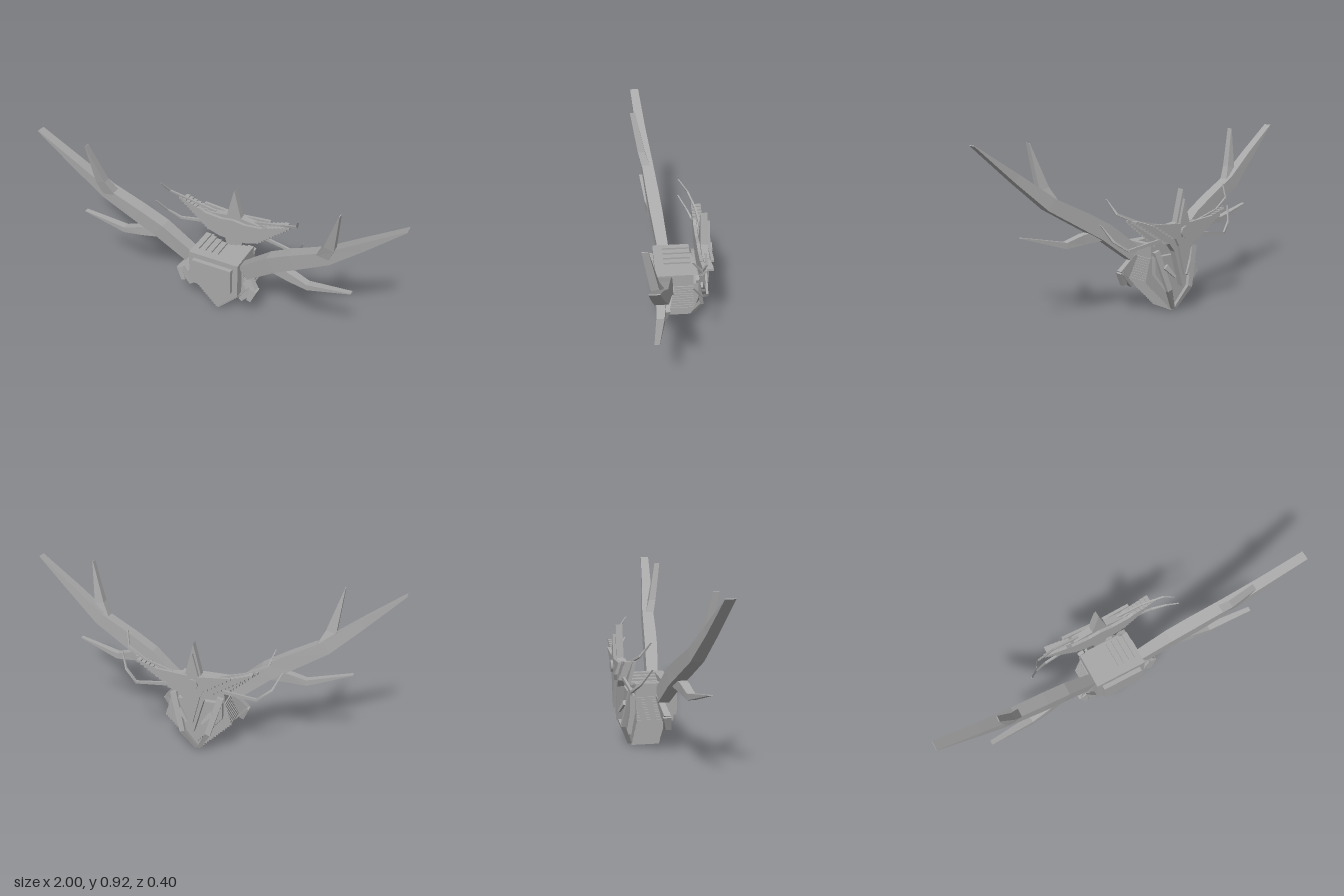
import * as THREE from 'three';

export function createModel() {
  const model = new THREE.Group();
  const grey = new THREE.MeshStandardMaterial({ color: 0xa8a8a8 });
  grey.name = 'grey';

  const add = (name, geometry, parent = model) => {
    const mesh = new THREE.Mesh(geometry, grey);
    mesh.name = name;
    parent.add(mesh);
    return mesh;
  };
  const group = (name) => {
    const g = new THREE.Group();
    g.name = name;
    model.add(g);
    return g;
  };
  // Box given by its limits on each axis
  const box = (name, x0, x1, y0, y1, z0, z1, parent) => {
    const m = add(name, new THREE.BoxGeometry(x1 - x0, y1 - y0, z1 - z0), parent);
    m.position.set((x0 + x1) / 2, (y0 + y1) / 2, (z0 + z1) / 2);
  };
  // Tapered bar of rectangular section; rows are [x, y, z, width, depth]
  const bar = (name, rows, side, parent) => {
    const pos = [], index = [], last = rows.length - 1;
    const p = rows.map(([x, y, z]) => new THREE.Vector3(x * side, y, z));
    rows.forEach(([, , , w, d], i) => {
      const t = p[Math.min(i + 1, last)].clone().sub(p[Math.max(i - 1, 0)]).setZ(0).normalize();
      for (const [a, b] of [[1, 1], [-1, 1], [-1, -1], [1, -1]])
        pos.push(p[i].x - t.y * a * w / 2, p[i].y + t.x * a * w / 2, p[i].z + b * d / 2);
      if (i === last) return;
      for (let k = 0; k < 4; k++) {
        const a = i * 4 + k, b = i * 4 + (k + 1) % 4;
        index.push(a, b, b + 4, a, b + 4, a + 4);
      }
    });
    const e = last * 4;
    index.push(0, 2, 1, 0, 3, 2, e, e + 1, e + 2, e, e + 2, e + 3);
    let g = new THREE.BufferGeometry();
    g.setAttribute('position', new THREE.Float32BufferAttribute(pos, 3));
    g.setIndex(index);
    g = g.toNonIndexed();
    g.computeVertexNormals();
    return add(name, g, parent);
  };
  // Symmetric plate from the points of its +x half, top to bottom
  const plate = (name, half, z0, z1, parent) => {
    const all = [...half, ...half.filter(([x]) => x > 0).reverse().map(([x, y]) => [-x, y])];
    const shape = new THREE.Shape(all.map(([x, y]) => new THREE.Vector2(x, y)));
    const g = new THREE.ExtrudeGeometry(shape, { depth: z1 - z0, bevelEnabled: false });
    add(name, g, parent).position.z = z0;
  };
  // Stair-stepped edge between two points
  const steps = ([x0, y0], [x1, y1], n) => {
    const out = [];
    for (let i = 0; i < n; i++) {
      const x = x0 + (x1 - x0) * i / n, xn = x0 + (x1 - x0) * (i + 1) / n;
      const y = y0 + (y1 - y0) * (i + 1) / n;
      out.push([x, y], [xn, y]);
    }
    return out;
  };

  // Wedge body made of thin stacked slabs
  const body = group('body');
  const rows = 24, h = 0.3 / rows;
  for (let i = 0; i < rows; i++) {
    const y = (i + 0.5) * h;
    const w = y < 0.18 ? 0.005 + y * 1.0 : 0.185 - (y - 0.18) * 0.3;
    box('bodySlab', -w, w, i * h, (i + 1) * h, -0.09, 0.06, body);
  }
  // Narrower slabs on the back
  for (let i = 0; i < 20; i++) {
    const y = 0.06 + i * 0.0125;
    const w = Math.min(0.01 + (y - 0.06) * 0.85, 0.14);
    box('backSlab', -w, w, y, y + 0.0125, -0.118, -0.09, body);
  }
  // Dished top made of upright slats
  for (let i = -4; i <= 4; i++)
    box('topSlat', i * 0.032 - 0.016, i * 0.032 + 0.016, 0.3, 0.33 + 0.01 * Math.abs(i), -0.09, 0.06, body);

  // Front panels
  box('frontPanel', -0.145, 0.145, 0.165, 0.37, 0.06, 0.11);
  box('frontPlate', -0.115, 0.115, 0.19, 0.34, 0.11, 0.135);

  // Winged star standing behind the body
  const star = group('star');
  plate('frontWings', [
    [0, 0.475], [0.07, 0.465], [0.17, 0.475],
    ...steps([0.2, 0.485], [0.33, 0.53], 6),
    ...steps([0.33, 0.53], [0.14, 0.37], 12), [0.08, 0.35], [0, 0.345],
  ], -0.135, -0.118, star);
  plate('mainStar', [
    [0, 0.66], [0.042, 0.49], [0.15, 0.475], ...steps([0.17, 0.48], [0.31, 0.525], 6),
    ...steps([0.31, 0.525], [0.09, 0.385], 11), [0.055, 0.34], [0, 0.145],
  ], -0.172, -0.135, star);
  plate('backStar', [
    [0, 0.61], [0.032, 0.485], [0.2, 0.5], ...steps([0.2, 0.5], [0.06, 0.41], 7), [0.04, 0.37], [0, 0.21],
  ], -0.188, -0.172, star);
  const boss = add('starBoss', new THREE.CylinderGeometry(0.032, 0.032, 0.012, 8).rotateX(Math.PI / 2), star);
  boss.position.set(0, 0.44, -0.194);

  for (const [side, label] of [[1, 'left'], [-1, 'right']]) {
    // Antler with two branches
    const antler = group(label + 'Antler');
    bar('beam', [
      [0.16, 0.31, 0.05, 0.085, 0.06], [0.33, 0.445, 0.075, 0.09, 0.07],
      [0.45, 0.515, 0.09, 0.085, 0.07], [0.63, 0.615, 0.11, 0.07, 0.065],
      [0.8, 0.755, 0.135, 0.045, 0.055], [1.0, 0.92, 0.16, 0.004, 0.048],
    ], side, antler);
    bar('upperBranch', [
      [0.6, 0.59, 0.11, 0.07, 0.05], [0.645, 0.69, 0.14, 0.055, 0.04], [0.692, 0.912, 0.182, 0.004, 0.03],
    ], side, antler);
    bar('lowerBranch', [
      [0.33, 0.43, 0.08, 0.06, 0.045], [0.44, 0.415, 0.1, 0.05, 0.045],
      [0.54, 0.395, 0.11, 0.032, 0.04], [0.775, 0.46, 0.14, 0.004, 0.025],
    ], side, antler);

    // Short claw under the antler
    const claw = group(label + 'Claw');
    bar('clawArm', [[0.14, 0.29, 0.03, 0.06, 0.03], [0.215, 0.2, 0.06, 0.06, 0.035]], side, claw);
    bar('innerToe', [[0.215, 0.215, 0.06, 0.04, 0.04], [0.15, 0.13, 0.07, 0.025, 0.03]], side, claw);
    bar('outerToe', [[0.225, 0.215, 0.06, 0.04, 0.04], [0.2, 0.14, 0.072, 0.025, 0.03]], side, claw);

    // Thin feelers trailing from the wings
    const feelers = group(label + 'Feelers');
    bar('upperFeeler', [
      [0.12, 0.475, -0.155, 0.02, 0.012], [0.27, 0.515, -0.14, 0.014, 0.01],
      [0.378, 0.565, -0.105, 0.012, 0.01], [0.402, 0.635, -0.055, 0.004, 0.008],
    ], side, feelers);
    bar('lowerFeeler', [
      [0.1, 0.41, -0.155, 0.02, 0.012], [0.33, 0.378, -0.14, 0.014, 0.012],
      [0.4, 0.43, -0.105, 0.012, 0.01], [0.44, 0.51, -0.055, 0.004, 0.008],
    ], side, feelers);

    // Bent brace down the back of the body
    bar(label + 'BackBrace', [
      [0.13, 0.34, -0.112, 0.035, 0.02], [0.07, 0.13, -0.145, 0.03, 0.02], [0.005, 0.012, -0.1, 0.015, 0.02],
    ], side);
    bar(label + 'BackSpur', [[0.09, 0.26, -0.14, 0.03, 0.014], [0.04, 0.2, -0.16, 0.012, 0.01]], side);
  }
  return model;
}
